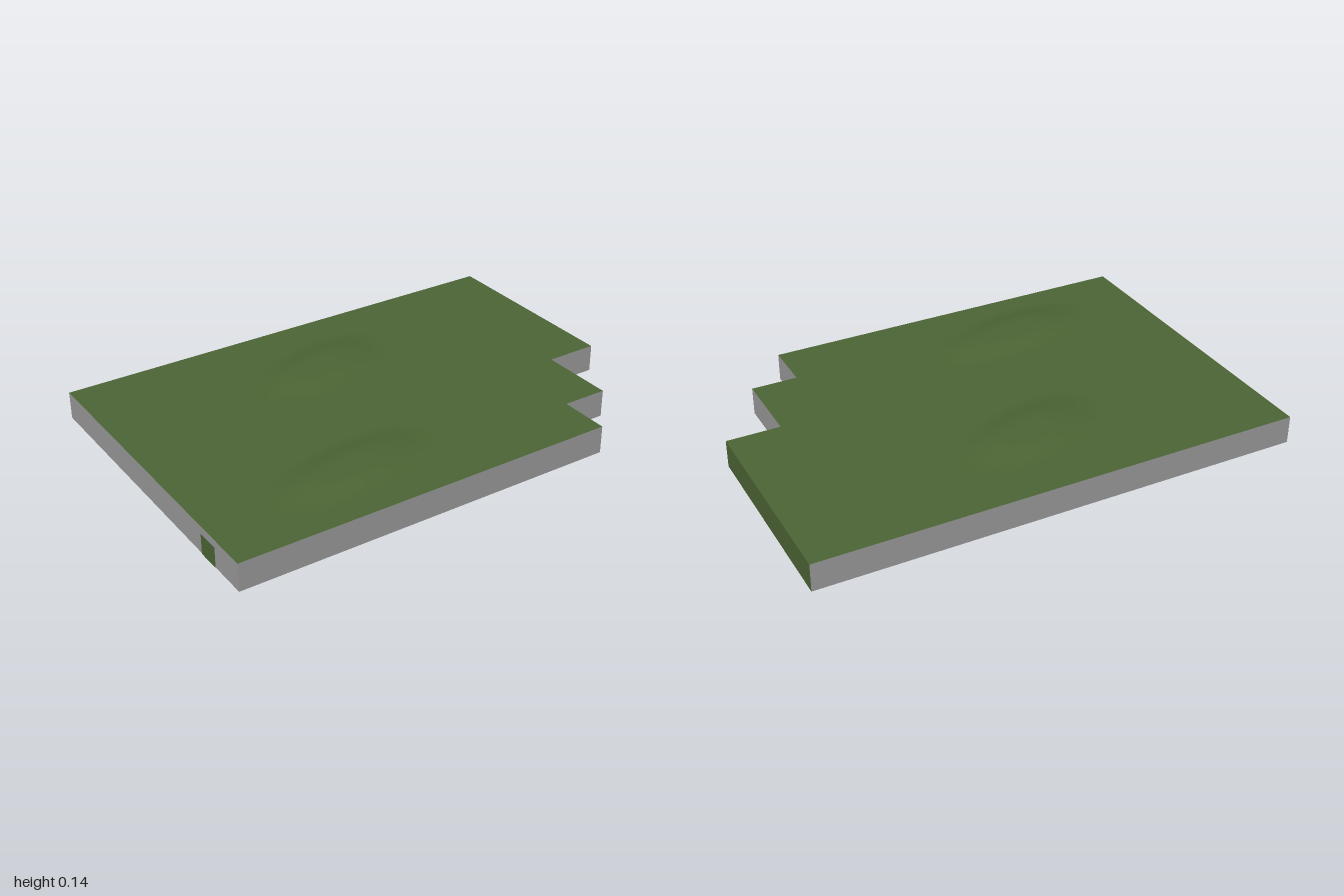
import * as THREE from 'three';

const TOP = 0.115;
const stone = new THREE.MeshStandardMaterial({ color: 0x999999, side: THREE.DoubleSide });
stone.name = 'stone grey';
const grass = new THREE.MeshStandardMaterial({ color: 0x4b6434, side: THREE.DoubleSide });
grass.name = 'grass green';

// Stepped footprint as [x, z]
const outline = [[-1, -0.69], [1, -0.69], [1, 0.16], [0.78, 0.16], [0.78, 0.48], [0.59, 0.48], [0.59, 0.69], [-1, 0.69]];

// Two low elliptical mounds
const hills = [
  { x: -0.05, z: -0.315, a: 0.35, b: 0.18, tilt: 0.35 },
  { x: -0.37, z: 0.405, a: 0.39, b: 0.17, tilt: 0.2 },
];
const SEGMENTS = 40;

function addMesh(group, name, geometry, material) {
  const mesh = new THREE.Mesh(geometry, material);
  mesh.name = name;
  group.add(mesh);
  return mesh;
}

// Horizontal sheet from [x, z] points, facing up or down
function sheet(points, y, up, holes = []) {
  const s = up ? -1 : 1;
  const toVectors = (list) => list.map(([x, z]) => new THREE.Vector2(x, s * z));
  const shape = new THREE.Shape(toVectors(points));
  holes.forEach((h) => shape.holes.push(new THREE.Path(toVectors(h))));
  return new THREE.ShapeGeometry(shape).rotateX(s * Math.PI / 2).translate(0, y, 0);
}

function hillRim({ x, z, a, b, tilt }) {
  const c = Math.cos(tilt), s = Math.sin(tilt);
  return Array.from({ length: SEGMENTS }, (_, i) => {
    const t = (i / SEGMENTS) * Math.PI * 2;
    const u = a * Math.cos(t), v = b * Math.sin(t);
    return [x + u * c + v * s, z - u * s + v * c];
  });
}

function hillGeometry({ x, z, a, b, tilt }) {
  const g = new THREE.RingGeometry(0.001, 1, SEGMENTS, 10);
  const p = g.attributes.position;
  for (let i = 0; i < p.count; i++) {
    const r = Math.hypot(p.getX(i), p.getY(i));
    p.setXYZ(i, p.getX(i) * a, p.getY(i) * b, 0.02 * (1 - THREE.MathUtils.smoothstep(r, 0.35, 1)));
  }
  g.rotateX(-Math.PI / 2).rotateY(tilt).translate(x, TOP, z);
  g.computeVertexNormals();
  return g;
}

const rect = (x0, x1, z0, z1) => [[x0, z0], [x1, z0], [x1, z1], [x0, z1]];

export function createModel() {
  const model = new THREE.Group();
  model.name = 'terrainSlab';

  // Ground surface with mounds
  addMesh(model, 'groundTop', sheet(outline, TOP, true, hills.map(hillRim)), grass);
  hills.forEach((h, i) => addMesh(model, `mound${i + 1}`, hillGeometry(h), grass));

  // Walls around the footprint; the +x end is grass
  outline.forEach(([x0, z0], i) => {
    const [x1, z1] = outline[(i + 1) % outline.length];
    const dx = x1 - x0, dz = z1 - z0;
    const wall = new THREE.PlaneGeometry(Math.hypot(dx, dz), TOP);
    wall.rotateY(Math.atan2(dz, -dx)).translate((x0 + x1) / 2, TOP / 2, (z0 + z1) / 2);
    addMesh(model, `wall${i + 1}`, wall, x0 === 1 && x1 === 1 ? grass : stone);
  });

  // Underside with green patches
  addMesh(model, 'underside', sheet(outline, 0.003, false), stone);
  const patches = [
    [[0.42, 0.02], [0.42, 0.34], [-0.54, 0.34], [-0.54, 0.595], [-0.68, 0.595], [-0.68, 0.545], [-1, 0.545],
      [-1, 0.07], [-0.9, 0.07], [-0.9, 0.03], [-0.55, 0.03], [-0.55, 0.125], [-0.465, 0.125], [-0.465, -0.02],
      [0.28, -0.02], [0.28, 0.02]],
    rect(-0.61, -0.53, -0.69, -0.035),
    rect(-1, -0.92, -0.69, -0.025),
    rect(-1, -0.93, 0.0, 0.045),
  ];
  patches.forEach((pts, i) => addMesh(model, `undersidePatch${i + 1}`, sheet(pts, 0, false), grass));

  // Small green patch on the -x wall
  const sidePatch = new THREE.PlaneGeometry(0.1, 0.085).rotateY(-Math.PI / 2).translate(-1.002, 0.0425, 0.48);
  addMesh(model, 'sidePatch', sidePatch, grass);

  return model;
}
